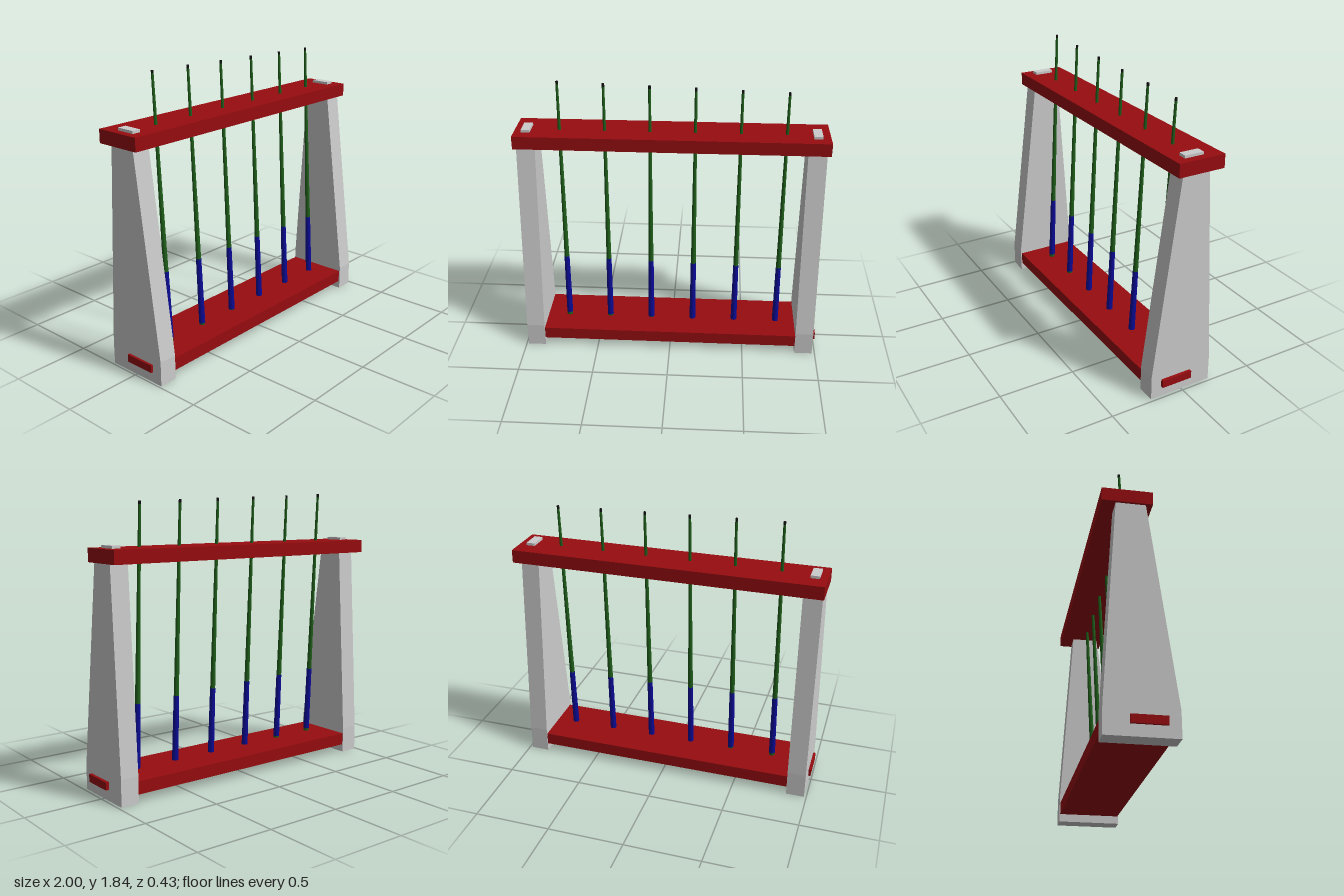
import * as THREE from 'three';

const mat = (color) => new THREE.MeshStandardMaterial({ color });

export function createModel() {
  const model = new THREE.Group();
  const grey = mat(0xcccccc), red = mat(0x960c10), green = mat(0x1f5e1a);
  const blue = mat(0x0a0a96), black = mat(0x111111);

  function add(parent, name, geometry, material) {
    const mesh = new THREE.Mesh(geometry, material);
    mesh.name = name;
    parent.add(mesh);
    return mesh;
  }

  // Box given by its extents along each axis
  function box(name, [x0, x1], [y0, y1], [z0, z1], material) {
    const geo = new THREE.BoxGeometry(x1 - x0, y1 - y0, z1 - z0);
    geo.translate((x0 + x1) / 2, (y0 + y1) / 2, (z0 + z1) / 2);
    return add(model, name, geo, material);
  }

  // Upper rail and lower shelf
  box('topRail', [-1, 1], [1.435, 1.52], [-0.215, 0.09], red);
  box('bottomShelf', [-0.87, 0.87], [0.053, 0.135], [-0.2, 0.21], red);

  // Tapered end supports, profile drawn in the z-y plane
  const profile = new THREE.Shape([
    [0.217, 0], [0.217, 0.16], [0.05, 1.437], [-0.13, 1.437], [-0.205, 0.17], [-0.205, 0],
  ].map(([z, y]) => new THREE.Vector2(z, y)));

  for (const [side, x] of [['right', -0.925], ['left', 0.92]]) {
    const geo = new THREE.ExtrudeGeometry(profile, { depth: 0.12, bevelEnabled: false });
    geo.translate(0, 0, -0.06);
    geo.rotateY(-Math.PI / 2);
    geo.translate(x, 0, 0);
    add(model, side + 'Support', geo, grey);

    // Tenons through the rail and through the support
    box(side + 'TopTenon', [x - 0.028, x + 0.028], [1.42, 1.537], [-0.105, 0.02], grey);
    const s = Math.sign(x);
    box(side + 'ShelfTenon', [Math.min(s, s * 0.85), Math.max(s, s * 0.85)],
      [0.07, 0.12], [-0.06, 0.147], red);
  }

  // Row of tapered rods leaning slightly back, each seated a little lower
  const radiusAt = (h) => 0.02 - 0.012 * h / 1.72;
  const sections = [
    ['rodButt', 0, 0.035, 0, green],
    ['rodGrip', 0.035, 0.48, 0.001, blue],
    ['rodShaft', 0.48, 1.7, 0, green],
    ['rodTip', 1.7, 1.72, 0, black],
  ];
  for (let i = 0; i < 6; i++) {
    const rod = new THREE.Group();
    rod.name = 'rod' + (i + 1);
    for (const [name, a, b, extra, material] of sections) {
      const geo = new THREE.CylinderGeometry(radiusAt(b) + extra, radiusAt(a) + extra, b - a, 12);
      geo.translate(0, (a + b) / 2, 0);
      add(rod, name, geo, material);
    }
    rod.position.set(-0.717 + i * 0.2893, 0.12 - i * 0.0088, 0.026);
    rod.rotation.x = -0.05;
    model.add(rod);
  }
  return model;
}
